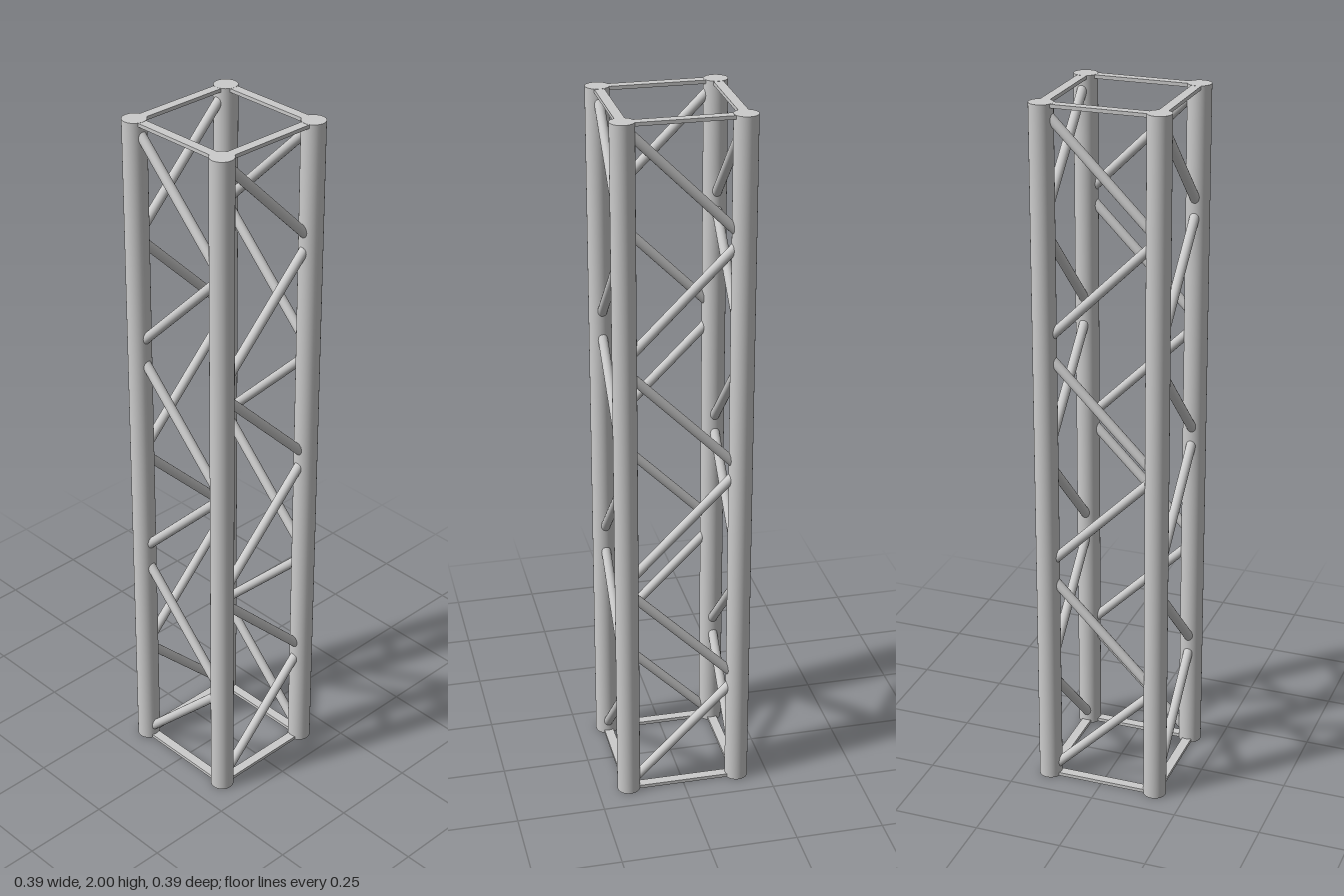
import * as THREE from 'three';

const HEIGHT = 2, HALF = 0.16, POST_R = 0.033, BRACE_R = 0.0135;
const UNITS = 3, PITCH = HEIGHT / UNITS;

export function createModel() {
  const model = new THREE.Group();
  model.name = 'latticeTower';
  const material = new THREE.MeshStandardMaterial({ color: 0xcccccc });

  const postGeo = new THREE.CylinderGeometry(POST_R, POST_R, HEIGHT, 32);
  const barGeo = new THREE.BoxGeometry(2 * HALF, 0.01, 2 * BRACE_R);
  // diagonal at 45 degrees, its ends hidden inside the posts
  const braceGeo = new THREE.CylinderGeometry(BRACE_R, BRACE_R, 0.285 * Math.SQRT2, 20);

  const add = (parent, name, geometry, x, y, z, tilt = 0) => {
    const mesh = new THREE.Mesh(geometry, material);
    mesh.name = name;
    mesh.position.set(x, y, z);
    mesh.rotation.z = tilt;
    parent.add(mesh);
  };

  // four identical sides, each turned a quarter around the axis
  for (let i = 0; i < 4; i++) {
    const side = new THREE.Group();
    side.name = 'side' + (i + 1);
    side.rotation.y = i * Math.PI / 2;

    add(side, 'cornerPost', postGeo, HALF, HEIGHT / 2, HALF);

    // flat end bars, set just inside the post ends
    add(side, 'bottomBar', barGeo, 0, 0.0055, HALF);
    add(side, 'topBar', barGeo, 0, HEIGHT - 0.0055, HALF);

    // zigzag bracing, two diagonals per unit
    for (let u = 0; u < UNITS; u++) {
      const middle = (u + 0.5) * PITCH;
      add(side, 'lowerBrace', braceGeo, 0, middle - 0.16, HALF, -Math.PI / 4);
      add(side, 'upperBrace', braceGeo, 0, middle + 0.16, HALF, Math.PI / 4);
    }
    model.add(side);
  }
  return model;
}
